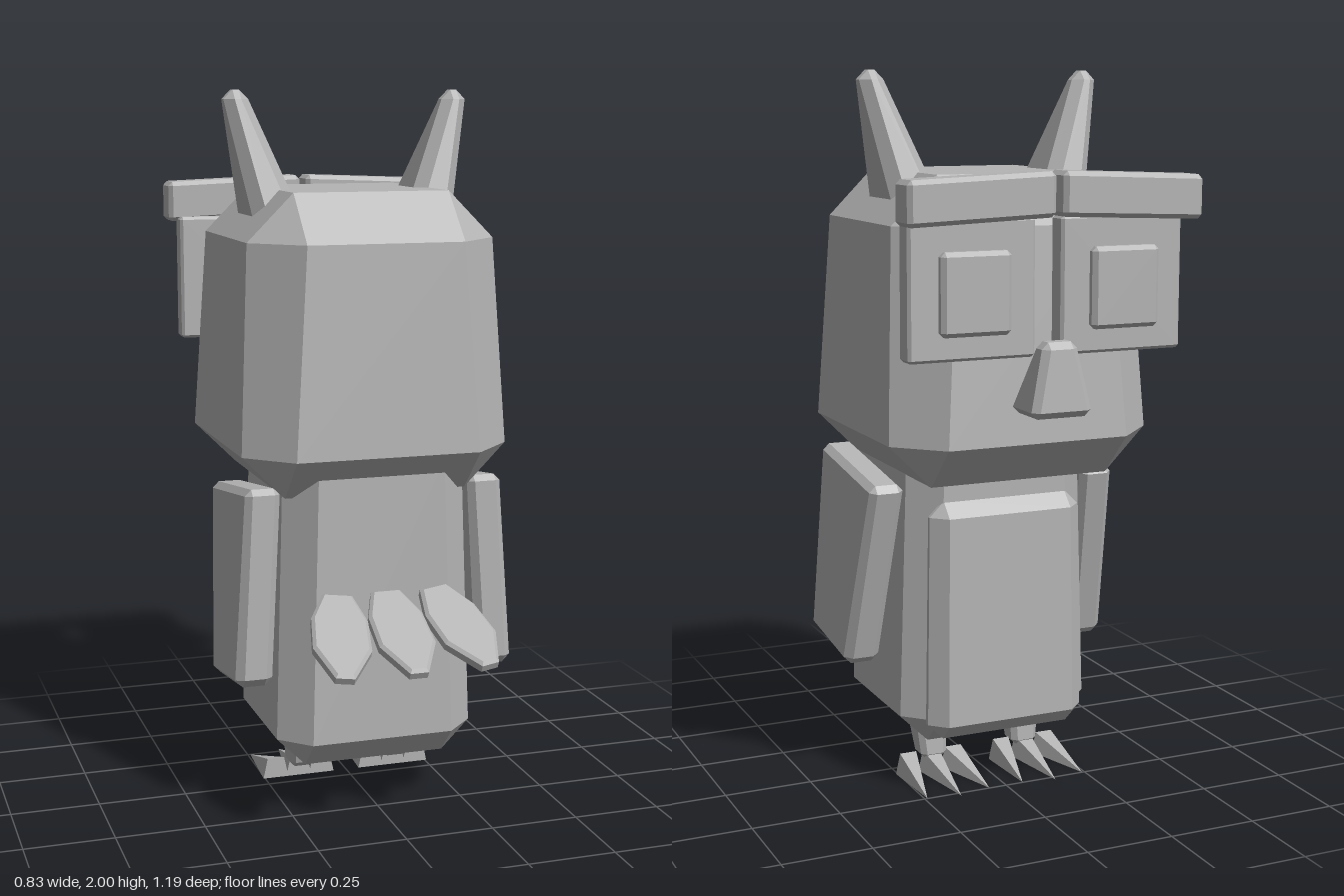
import * as THREE from 'three';
import { ConvexGeometry } from 'three/addons/geometries/ConvexGeometry.js';

const grey = new THREE.MeshStandardMaterial({ color: 0xb4b4b4 });
grey.name = 'plain grey';

// Tapered box with chamfered edges. Each end is { y, x: [min, max], z: [min, max], b: chamfer }.
// tiltX and tiltZ raise y along x and z; side = -1 mirrors the block.
function block(lo, hi, { side = 1, tiltX = 0, tiltZ = 0 } = {}) {
  const points = [];
  for (const [end, up] of [[lo, 1], [hi, -1]]) {
    const b = end.b;
    for (const i of [0, 1]) for (const j of [0, 1]) {
      const x = end.x[i], z = end.z[j];
      const xi = x + (i ? -b : b), zi = z + (j ? -b : b);
      for (const [px, dy, pz] of [[xi, 0, zi], [x, b, zi], [xi, b, z]]) {
        points.push(new THREE.Vector3(side * px, end.y + up * dy + tiltX * px + tiltZ * pz, pz));
      }
    }
  }
  return new ConvexGeometry(points);
}

// One tail feather, pointing along +y before it is placed
function featherGeometry() {
  const half = [[0.035, 0], [0.068, 0.09], [0.07, 0.2], [0.02, 0.3]];
  const outline = [...half, ...half.map(([x, y]) => [-x, y]).reverse()];
  const shape = new THREE.Shape(outline.map(([x, y]) => new THREE.Vector2(x, y)));
  const geometry = new THREE.ExtrudeGeometry(shape, {
    depth: 0.02, bevelThickness: 0.008, bevelSize: 0.009, bevelSegments: 1,
  });
  return geometry.translate(0, 0, -0.01);
}

export function createModel() {
  const model = new THREE.Group();
  model.name = 'owl';
  const add = (name, geometry, parent = model) => {
    const mesh = new THREE.Mesh(geometry, grey);
    mesh.name = name;
    parent.add(mesh);
    return mesh;
  };

  // Head, body, chest and beak; the face looks toward -z
  add('head', block(
    { y: 0.91, x: [-0.38, 0.38], z: [-0.45, 0.35], b: 0.12 },
    { y: 1.73, x: [-0.35, 0.35], z: [-0.41, 0.32], b: 0.13 }));
  add('body', block(
    { y: 0.14, x: [-0.285, 0.285], z: [-0.24, 0.3], b: 0.082 },
    { y: 1.08, x: [-0.26, 0.26], z: [-0.235, 0.285], b: 0.08 }));
  add('chest', block(
    { y: 0.17, x: [-0.235, 0.235], z: [-0.285, -0.18], b: 0.045 },
    { y: 0.845, x: [-0.225, 0.225], z: [-0.275, -0.18], b: 0.042 }));
  add('beak', block(
    { y: 1.12, x: [-0.085, 0.085], z: [-0.592, -0.445], b: 0.018 },
    { y: 1.315, x: [-0.05, 0.05], z: [-0.578, -0.51], b: 0.018 }));

  for (const side of [1, -1]) {
    const where = side > 0 ? 'left' : 'right';

    // Ear tuft leaning outward
    add(where + 'Ear', block(
      { y: 1.62, x: [0.15, 0.29], z: [-0.167, 0.063], b: 0.035 },
      { y: 2, x: [0.282, 0.352], z: [-0.088, -0.012], b: 0.026 }, { side }));

    // Eye plate, pupil and brow
    add(where + 'Eye', block(
      { y: 1.27, x: [0.037, 0.39], z: [-0.497, -0.433], b: 0.008 },
      { y: 1.63, x: [0.037, 0.39], z: [-0.497, -0.433], b: 0.008 }, { side }));
    add(where + 'Pupil', block(
      { y: 1.335, x: [0.115, 0.31], z: [-0.528, -0.49], b: 0.012 },
      { y: 1.55, x: [0.115, 0.31], z: [-0.528, -0.49], b: 0.012 }, { side }));
    add(where + 'Brow', block(
      { y: 1.632, x: [0.01, 0.415], z: [-0.566, -0.468], b: 0.012 },
      { y: 1.748, x: [0.01, 0.415], z: [-0.566, -0.468], b: 0.012 }, { side, tiltX: -0.04 }));

    // Folded wing
    add(where + 'Wing', block(
      { y: 0.355, x: [0.3, 0.405], z: [-0.05, 0.25], b: 0.022 },
      { y: 0.908, x: [0.272, 0.37], z: [-0.172, 0.237], b: 0.018 }, { side, tiltZ: 0.14 }));

    // Leg and three claws
    add(where + 'Leg', block(
      { y: 0.045, x: [0.105, 0.183], z: [-0.075, 0.0], b: 0.015 },
      { y: 0.18, x: [0.1, 0.195], z: [-0.068, 0.03], b: 0.015 }, { side }));
    const foot = new THREE.Group();
    foot.name = where + 'Foot';
    model.add(foot);
    for (const k of [-1, 0, 1]) {
      const x = side * (0.147 + k * 0.07);
      const tip = new THREE.Vector3(x + side * k * 0.025, 0.005, k ? -0.25 : -0.27);
      const base = [[-0.038, 0.005], [0.038, 0.005], [0.025, 0.065], [-0.025, 0.065]]
        .map(([dx, y]) => new THREE.Vector3(x + dx, y, -0.045));
      add('claw', new ConvexGeometry([...base, tip]), foot);
    }
  }

  // Fanned tail, sloping down and back
  const tail = new THREE.Group();
  tail.name = 'tail';
  model.add(tail);
  for (const k of [-1, 0, 1]) {
    const geometry = featherGeometry().rotateZ(-0.2 * k).rotateX(Math.PI / 2 + 0.48);
    geometry.translate(0.14 * k, 0.638, 0.315);
    add('tailFeather', geometry, tail);
  }

  return model;
}
